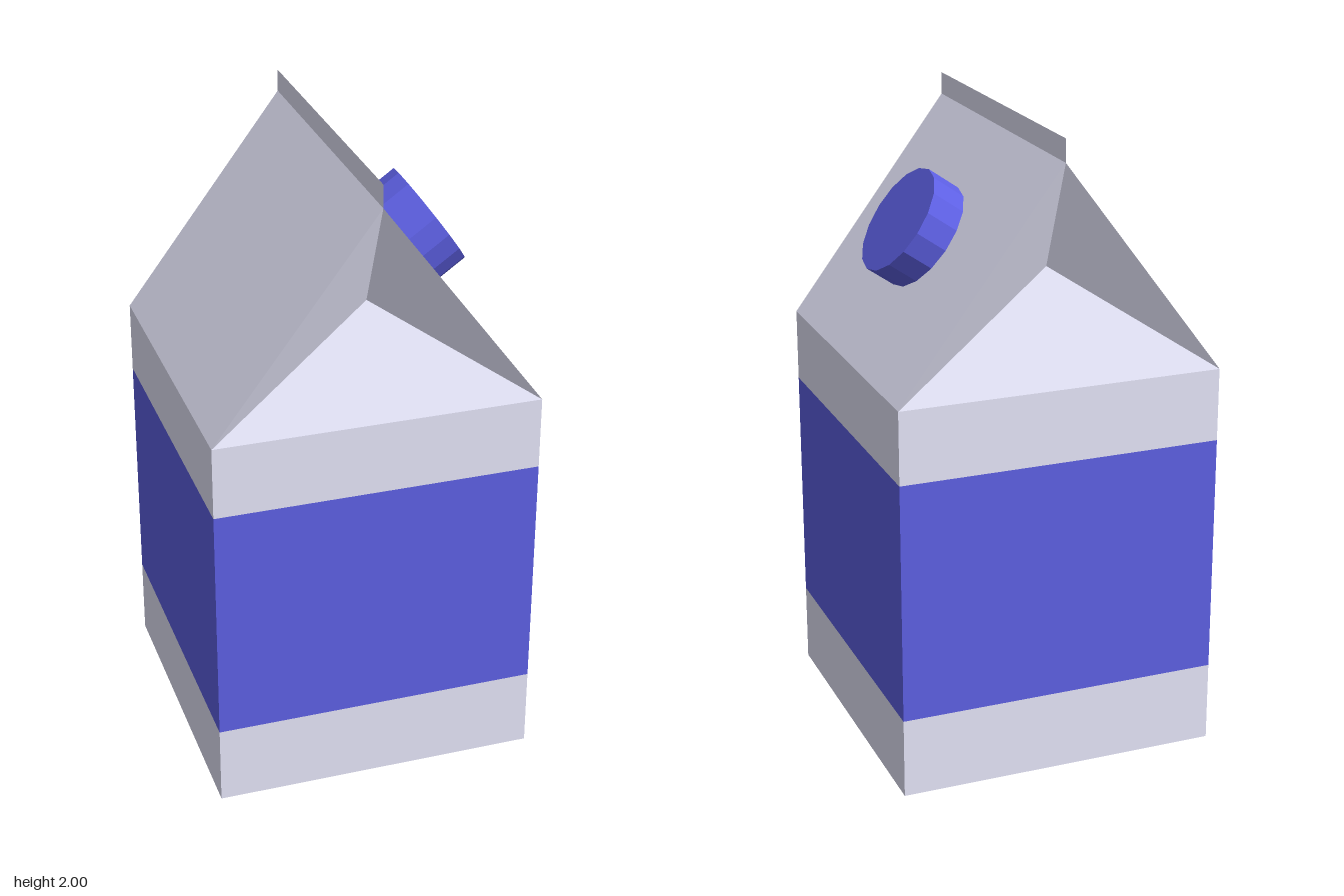
import * as THREE from 'three';

const HALF = 0.512, EAVE = 1.25, RIDGE = 1.93, TOP = 2.0;

const paint = (color, side = THREE.FrontSide) =>
  new THREE.MeshStandardMaterial({ color, flatShading: true, side });

export function createModel() {
  const carton = new THREE.Group();
  carton.name = 'carton';
  const white = paint(0xe6e6fa);
  const whiteThin = paint(0xe6e6fa, THREE.DoubleSide);
  const blue = paint(0x5e60e4);

  const add = (name, geometry, material) => {
    const mesh = new THREE.Mesh(geometry, material);
    mesh.name = name;
    carton.add(mesh);
    return mesh;
  };

  // Square wall sections, stacked flush: an open four-sided tube each
  const wall = (name, y0, y1, material) => {
    const r = HALF * Math.SQRT2;
    const tube = new THREE.CylinderGeometry(r, r, y1 - y0, 4, 1, true, Math.PI / 4);
    add(name, tube, material).position.y = (y0 + y1) / 2;
  };
  wall('lowerWalls', 0, 0.255, white);
  wall('colourBand', 0.255, 1.02, blue);
  wall('upperWalls', 1.02, EAVE, white);

  // Base
  add('base', new THREE.PlaneGeometry(2 * HALF, 2 * HALF), white).rotation.x = Math.PI / 2;

  // Half roof: one slope and one gable folded inwards; turned round for the other half
  const left = [HALF, EAVE, HALF], right = [-HALF, EAVE, HALF];
  const leftBack = [HALF, EAVE, -HALF];
  const peak = [0, RIDGE, HALF], peakBack = [0, RIDGE, -HALF];
  const fold = [0, 1.59, 0.375];
  const triangles = [
    left, leftBack, peakBack, left, peakBack, peak, // slope
    right, left, fold,                              // lower gable panel
    left, peak, fold, right, fold, peak,            // tucked side flaps
  ];
  const halfRoof = new THREE.BufferGeometry();
  halfRoof.setAttribute('position', new THREE.Float32BufferAttribute(triangles.flat(), 3));
  halfRoof.computeVertexNormals();
  add('roofFront', halfRoof, whiteThin);
  add('roofBack', halfRoof, whiteThin).rotation.y = Math.PI;

  // Thin sealed fin along the ridge
  const fin = add('ridgeFin', new THREE.PlaneGeometry(2 * HALF, TOP - RIDGE), whiteThin);
  fin.rotation.y = Math.PI / 2;
  fin.position.y = (TOP + RIDGE) / 2;

  // Screw cap, sunk slightly into the left slope
  const tilt = 0.958, depth = 0.14;
  const cap = add('cap', new THREE.CylinderGeometry(0.177, 0.177, depth, 16), blue);
  cap.rotation.z = -tilt;
  cap.position.set(
    0.33 - Math.sin(tilt) * depth / 2,
    1.671 - Math.cos(tilt) * depth / 2,
    0
  );

  return carton;
}
